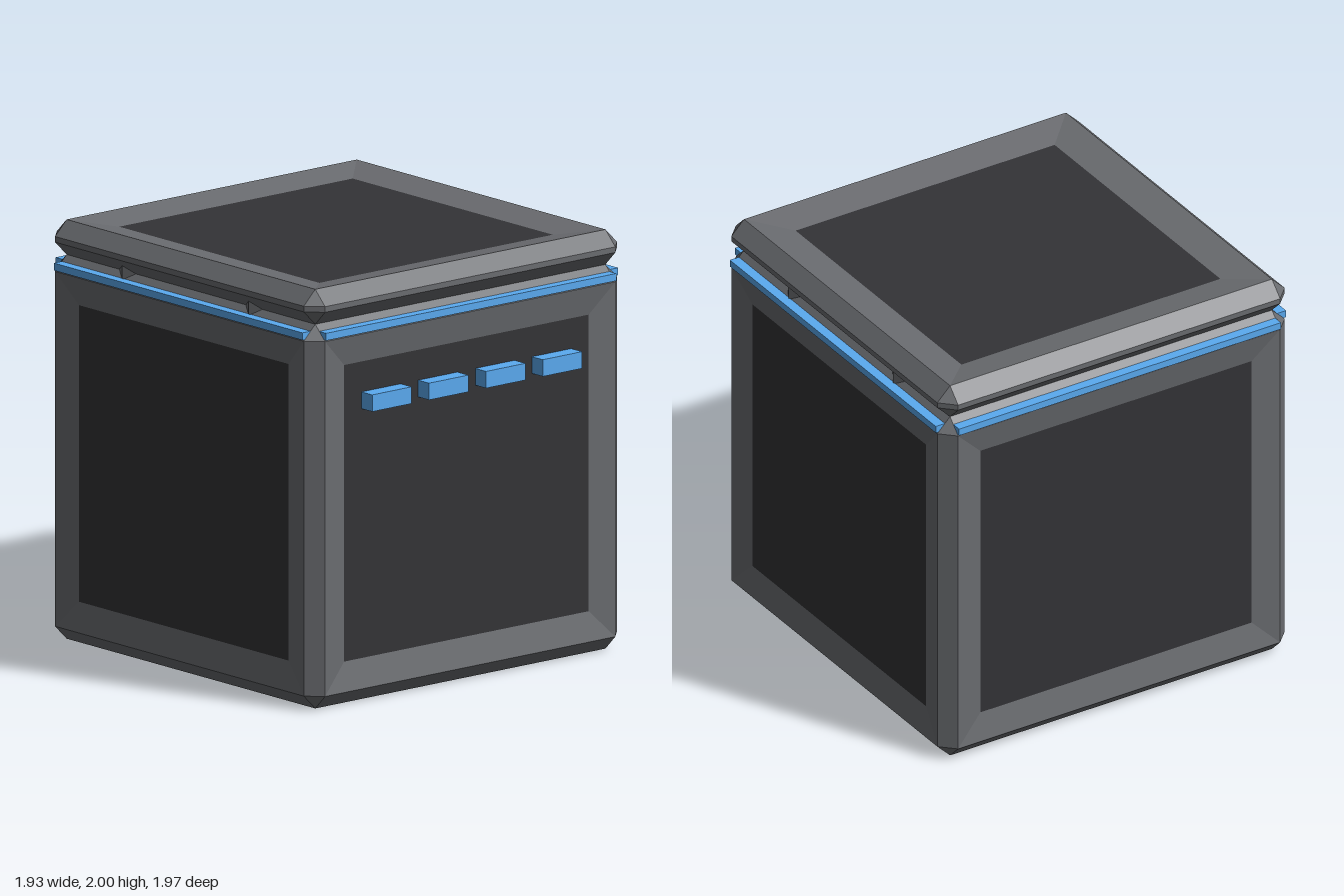
import * as THREE from 'three';

const HALF = 0.955;   // half width of the cube
const INNER = 0.885;  // half width of a flat face inside the chamfers
const CHAMFER = HALF - INNER;
const WALL_RECESS = 0.027;

const mat = (color) => new THREE.MeshStandardMaterial({ color, flatShading: true });

// Flat-shaded geometry from quads given counter-clockwise
function quadGeometry(quads) {
  const pos = [];
  for (const [a, b, c, d] of quads) pos.push(...a, ...b, ...c, ...a, ...c, ...d);
  const g = new THREE.BufferGeometry();
  g.setAttribute('position', new THREE.Float32BufferAttribute(pos, 3));
  g.computeVertexNormals();
  return g;
}

// Eight points round the block at one height, two per corner
function ring(y, half) {
  const pts = [];
  let a = [-INNER, half], b = [INNER, half];
  for (let k = 0; k < 4; k++) {
    pts.push([a[0], y, a[1]], [b[0], y, b[1]]);
    a = [a[1], -a[0]];
    b = [b[1], -b[0]];
  }
  return pts;
}

// Chamfered block; walls and top can be left open for recessed panels
function chamferedBlock(y0, y1, openWalls, openTop) {
  const rings = [
    ring(y0, INNER), ring(y0 + CHAMFER, HALF),
    ring(y1 - CHAMFER, HALF), ring(y1, INNER),
  ];
  const quads = [];
  for (let r = 0; r < 3; r++) {
    for (let k = 0; k < 8; k++) {
      if (openWalls && r === 1 && k % 2 === 0) continue;
      const n = (k + 1) % 8;
      quads.push([rings[r][k], rings[r][n], rings[r + 1][n], rings[r + 1][k]]);
    }
  }
  const corners = (loop) => [loop[0], loop[2], loop[4], loop[6]];
  quads.push(corners(rings[0]).reverse());
  if (!openTop) quads.push(corners(rings[3]));
  return quadGeometry(quads);
}

export function createModel() {
  const model = new THREE.Group();
  const box = new THREE.Group();
  box.name = 'box';
  box.position.z = -0.022;
  model.add(box);

  const frameMat = mat(0x6a6c70);
  const panelMat = mat(0x333336);
  const blueMat = mat(0x5aaaf0);

  const add = (parent, name, geometry, material, x = 0, y = 0, z = 0) => {
    const mesh = new THREE.Mesh(geometry, material);
    mesh.name = name;
    mesh.position.set(x, y, z);
    parent.add(mesh);
    return mesh;
  };

  // Sloping border with a sunken dark panel, facing +z
  function recessedFace(name, w, h, border, depth) {
    const group = new THREE.Group();
    group.name = name;
    const rect = (x, y, z) => [[-x, -y, z], [x, -y, z], [x, y, z], [-x, y, z]];
    const outer = rect(w / 2, h / 2, 0);
    const inner = rect(w / 2 - border, h / 2 - border, -depth);
    const quads = outer.map((p, k) => {
      const n = (k + 1) % 4;
      return [p, outer[n], inner[n], inner[k]];
    });
    add(group, name + 'Border', quadGeometry(quads), frameMat);
    add(group, name + 'Panel', new THREE.PlaneGeometry(w - 2 * border, h - 2 * border),
      panelMat, 0, 0, -depth);
    return group;
  }

  // Body and lid shells, meeting in a V-shaped groove
  const bodyTop = 1.833;
  add(box, 'bodyShell', chamferedBlock(0, bodyTop, true, false), frameMat);
  add(box, 'lidShell', chamferedBlock(bodyTop, 2, false, true), frameMat);

  // Four walls, each with a blue strip along its top edge
  ['front', 'left', 'back', 'right'].forEach((side, k) => {
    const wall = new THREE.Group();
    wall.name = side + 'Wall';
    wall.rotation.y = k * Math.PI / 2;
    const face = recessedFace(side + 'Face', 2 * INNER, bodyTop - 2 * CHAMFER, 0.139, WALL_RECESS);
    face.position.set(0, bodyTop / 2, HALF);
    wall.add(face);
    add(wall, side + 'Strip', new THREE.BoxGeometry(2 * INNER, 0.035, 0.08),
      blueMat, 0, 1.787, 0.923);
    box.add(wall);
  });

  // Lid top
  const lidFace = recessedFace('lidFace', 2 * INNER, 2 * INNER, 0.173, 0.03);
  lidFace.rotation.x = -Math.PI / 2;
  lidFace.position.y = 2;
  box.add(lidFace);

  // Hexagonal pegs in the groove on both sides
  for (const sx of [-1, 1]) {
    for (const z of [-0.45, 0.45]) {
      const peg = add(box, 'peg', new THREE.CylinderGeometry(0.1, 0.1, 0.1, 6),
        frameMat, sx * 0.819, bodyTop, z);
      peg.rotation.y = Math.PI / 2;
    }
  }

  // Row of blue lights on the front panel
  for (const x of [-0.52, -0.174, 0.174, 0.52]) {
    add(model, 'frontLight', new THREE.BoxGeometry(0.24, 0.08, 0.08), blueMat, x, 1.439, 0.943);
  }

  return model;
}
